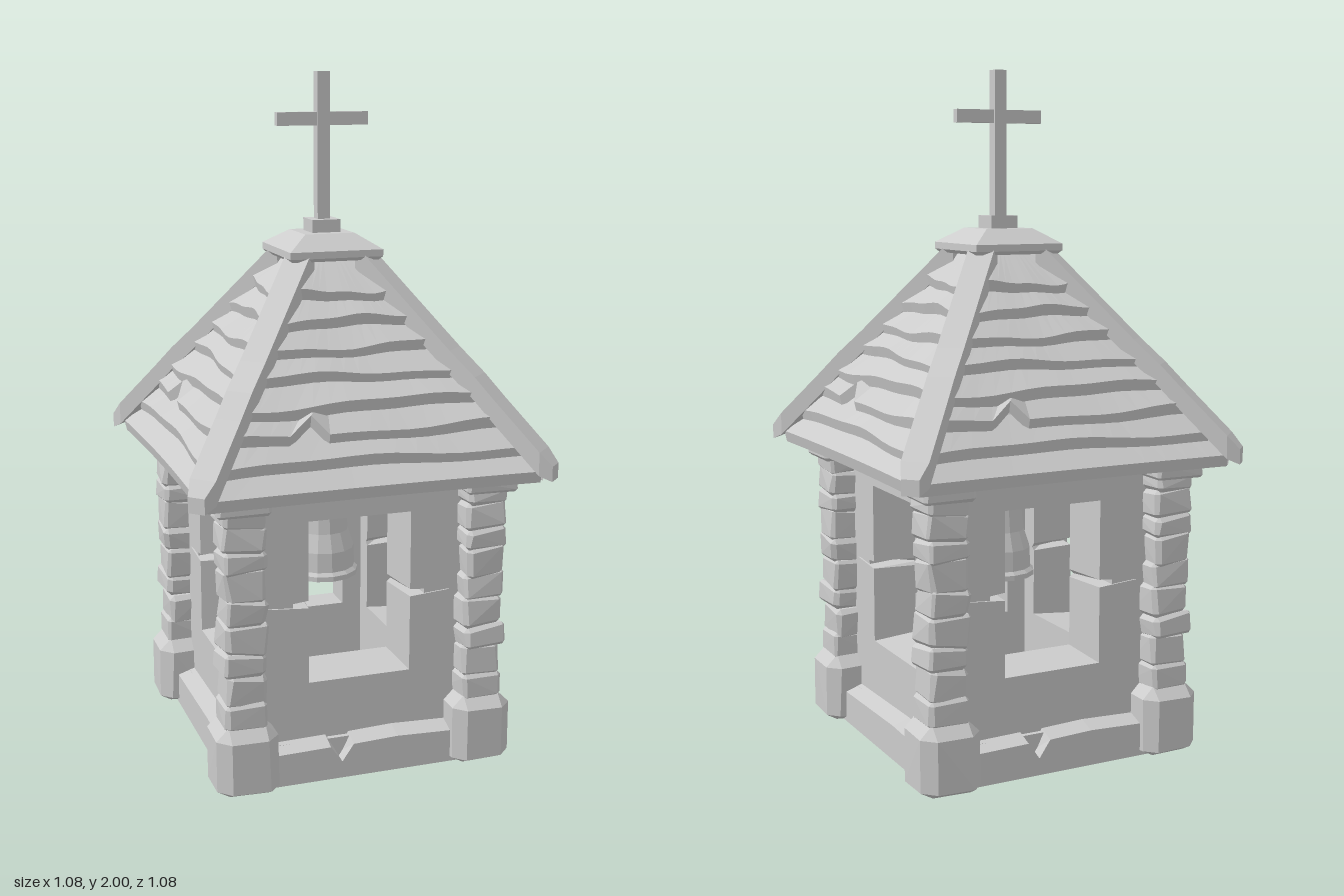
import * as THREE from 'three';
import { ConvexGeometry } from 'three/addons/geometries/ConvexGeometry.js';

const material = new THREE.MeshStandardMaterial({ color: 0xcccccc, flatShading: true, side: THREE.DoubleSide });

let seed = 7;
const rand = (a, b) => {
  seed = (seed * 16807) % 2147483647;
  return a + (b - a) * (seed / 2147483647);
};

function add(parent, name, geometry, x = 0, y = 0, z = 0) {
  const flat = geometry.index ? geometry.toNonIndexed() : geometry;
  flat.computeVertexNormals();
  const mesh = new THREE.Mesh(flat, material);
  mesh.name = name;
  mesh.position.set(x, y, z);
  parent.add(mesh);
  return mesh;
}

// Moves every vertex of a geometry by a rule
function reshape(geometry, rule) {
  const p = geometry.attributes.position;
  const v = new THREE.Vector3();
  for (let i = 0; i < p.count; i++) {
    rule(v.fromBufferAttribute(p, i));
    p.setXYZ(i, v.x, v.y, v.z);
  }
  return geometry;
}

// Rough stone block: convex hull of a box with cut, uneven corners
function stone(w, h, d, cut, rough) {
  const points = [];
  for (const sx of [-1, 1]) for (const sy of [-1, 1]) for (const sz of [-1, 1]) {
    const c = cut * rand(0.6, 1.3);
    const x = w / 2 - rand(0, rough), y = h / 2 - rand(0, rough), z = d / 2 - rand(0, rough);
    points.push(
      new THREE.Vector3(sx * x, sy * (y - c), sz * (z - c)),
      new THREE.Vector3(sx * (x - c), sy * y, sz * (z - c)),
      new THREE.Vector3(sx * (x - c), sy * (y - c), sz * z));
  }
  return new ConvexGeometry(points);
}

// Roof half width at a given height, under the planks
const roofProfile = [[0.87, 0.475], [0.95, 0.425], [1.08, 0.35], [1.19, 0.268], [1.47, 0.08]];
function roofHalf(y) {
  for (let i = 1; i < roofProfile.length; i++) {
    const [y0, w0] = roofProfile[i - 1], [y1, w1] = roofProfile[i];
    if (y <= y1) return w0 + (w1 - w0) * (y - y0) / (y1 - y0);
  }
  return 0.08;
}

// One roof plank with a thick, uneven lower end, optionally split
function plank(row) {
  const y0 = 0.902 + row * 0.07;
  return reshape(new THREE.BoxGeometry(2, 2, 2, 14, 1, 1), v => {
    const u = v.x, low = v.y < 0, out = v.z > 0;
    let y = y0 + (low ? 0 : 0.08);
    if (low && row > 0) y += 0.008 * Math.sin(u * 2.6 + row * 2.3) + 0.003 * Math.sin(u * 7 + row);
    if (low && row === 2 && Math.abs(u + 3 / 7) < 0.03) y += 0.05;
    const half = roofHalf(y);
    const sag = row < 3 ? 0.01 * (1 - u * u) : 0;
    const lip = low ? (out ? 0.052 : 0.044) : (out ? 0.002 : -0.03);
    const drop = low && !out ? 0.034 : 0;
    v.set(u * (half + (low ? 0.03 : 0)), y - drop, half + lip - sag);
  });
}

// Ridge beam following the roof corner, with a bend near the eave
function hipBeam() {
  const path = [[0.09, 1.48], [0.3, 1.195], [0.355, 1.125], [0.4, 1.06], [0.495, 0.928], [0.52, 0.9]];
  return reshape(new THREE.BoxGeometry(2, 2, 2, 1, 1, 5), v => {
    const k = Math.round((v.z + 1) * 2.5);
    const [s, y] = path[k];
    const shrink = k === 5 ? 0.65 : 1;
    const side = v.x * 0.028 * shrink;
    v.set(s + side, y + v.y * 0.034 * shrink, s - side);
  });
}

// Wall with a splayed window and a tapering crack on each side of it
function wall() {
  const s = new THREE.Shape();
  s.moveTo(-0.34, 0.05).lineTo(0.34, 0.05).lineTo(0.34, 0.875).lineTo(-0.34, 0.875).closePath();
  const hole = new THREE.Path();
  const pts = [[-0.155, 0.285], [-0.155, 0.512], [-0.285, 0.522], [-0.155, 0.535], [-0.155, 0.77],
    [0.155, 0.77], [0.155, 0.535], [0.285, 0.522], [0.155, 0.512], [0.155, 0.285]];
  hole.setFromPoints(pts.map(p => new THREE.Vector2(...p)));
  hole.closePath();
  s.holes.push(hole);
  return reshape(new THREE.ExtrudeGeometry(s, { depth: 0.145, bevelEnabled: false }), v => {
    if (v.z > 0.05 || Math.abs(v.x) > 0.3) return;
    if (Math.abs(v.x) > 0.2) v.x = Math.sign(v.x) * 0.15;
    else v.x *= 0.89;
    if (v.y < 0.4) v.y += 0.018;
  });
}

// Plinth stone course with a sloping top edge, optionally chipped
function plinth(chipped) {
  const s = new THREE.Shape();
  s.moveTo(-0.34, 0).lineTo(0.34, 0).lineTo(0.34, 0.115).lineTo(0.1, 0.125);
  if (chipped) s.lineTo(-0.035, 0.12).lineTo(-0.07, 0.05).lineTo(-0.105, 0.12);
  s.lineTo(-0.34, 0.115).closePath();
  return reshape(new THREE.ExtrudeGeometry(s, { depth: 0.06, bevelEnabled: false }), v => {
    if (v.z > 0.03 && v.y > 0.09) v.y -= 0.02;
  });
}

export function createModel() {
  const model = new THREE.Group();
  model.name = 'bellTower';

  add(model, 'floor', new THREE.BoxGeometry(0.72, 0.11, 0.72), 0, 0.055, 0);
  add(model, 'ceiling', new THREE.BoxGeometry(0.5, 0.1, 0.5), 0, 0.825, 0);

  // Four equal sides, each with its corner
  for (let i = 0; i < 4; i++) {
    seed = 7;
    const side = new THREE.Group();
    side.name = 'side' + (i + 1);
    side.rotation.y = i * Math.PI / 2;
    model.add(side);

    add(side, 'wall', wall(), 0, 0, 0.2);
    add(side, 'plinth', plinth(i % 2 === 0), 0, 0, 0.337);

    // Corner pillar of stacked stones on a flat-bottomed base
    const base = reshape(stone(0.185, 0.228, 0.185, 0.03, 0.004), v => { v.y = Math.max(v.y, -0.097); });
    add(side, 'cornerBase', base, 0.358, 0.097, 0.358);
    const heights = [0.07, 0.085, 0.065, 0.085, 0.07, 0.085, 0.06, 0.07, 0.05];
    let y = 0.2;
    for (const h of heights) {
      const w = rand(0.116, 0.134);
      const m = add(side, 'pillarStone', stone(w, h * 1.22, w, 0.012, 0.008),
        0.358 + rand(-0.006, 0.006), y + h / 2, 0.358 + rand(-0.006, 0.006));
      m.rotation.set(rand(-0.09, 0.09), rand(-0.06, 0.06), rand(-0.09, 0.09));
      y += h;
    }
    add(side, 'pillarCapital', stone(0.16, 0.055, 0.16, 0.012, 0.004), 0.368, 0.855, 0.368);

    // Roof planks and ridge
    for (let row = 0; row < 8; row++) add(side, 'roofPlank', plank(row));
    add(side, 'hipBeam', hipBeam());
  }

  // Solid roof body beneath the planks
  const body = [[0, 0.875], ...roofProfile.map(([y, w]) => [(w - 0.005) * Math.SQRT2, y + 0.005]), [0, 1.48]];
  add(model, 'roofBody', new THREE.LatheGeometry(body.map(p => new THREE.Vector2(...p)), 4, Math.PI / 4));

  // Roof cap
  const cap = [[0, 1.47], [0.13, 1.47], [0.14, 1.48], [0.14, 1.5], [0.075, 1.543], [0, 1.543]];
  add(model, 'roofCap', new THREE.LatheGeometry(
    cap.map(([r, y]) => new THREE.Vector2(r * Math.SQRT2, y)), 4, Math.PI / 4));

  // Cross
  add(model, 'crossFoot', new THREE.BoxGeometry(0.086, 0.04, 0.086), 0, 1.56, 0);
  add(model, 'crossPost', new THREE.BoxGeometry(0.037, 0.43, 0.037), 0, 1.785, 0);
  add(model, 'crossBar', new THREE.BoxGeometry(0.276, 0.038, 0.024), 0, 1.867, 0);

  // Bell, hollow underneath, hung from the ceiling
  const bell = [[0, 0.72], [0.055, 0.69], [0.08, 0.6], [0.098, 0.495], [0.11, 0.495], [0.11, 0.51], [0.1, 0.52],
    [0.098, 0.58], [0.08, 0.635], [0.072, 0.705], [0.05, 0.72], [0.03, 0.765], [0, 0.778]];
  add(model, 'bell', new THREE.LatheGeometry(bell.map(p => new THREE.Vector2(...p)), 14));

  return model;
}
